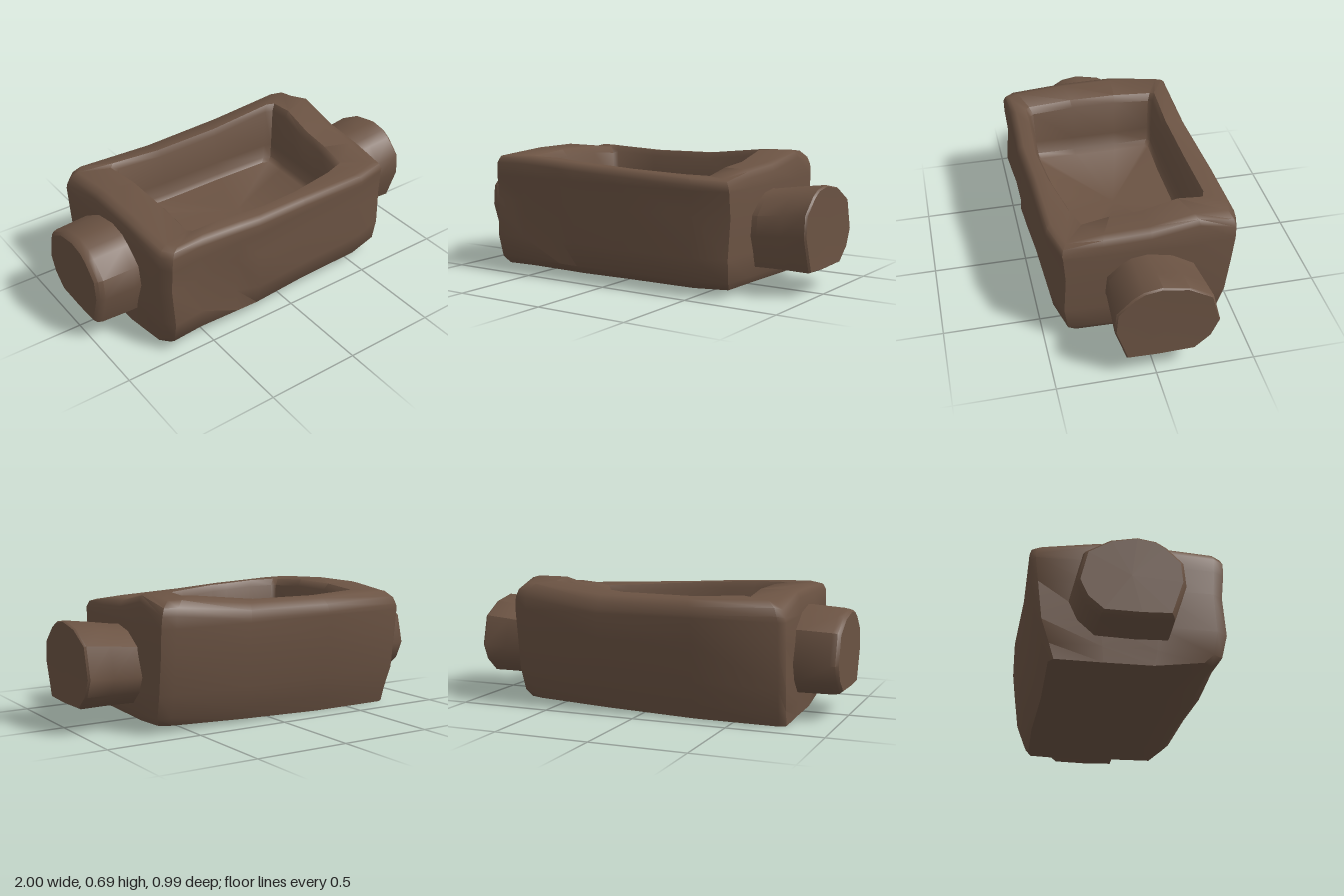
import * as THREE from 'three';
import { toCreasedNormals } from 'three/addons/utils/BufferGeometryUtils.js';

// Skin a stack of equal-length rings; rings run clockwise seen from the advancing end
function loft(rings, crease) {
  const n = rings[0].length;
  const index = [];
  for (let r = 0; r < rings.length - 1; r++) {
    for (let i = 0; i < n; i++) {
      const j = (i + 1) % n;
      const a = r * n + i, b = r * n + j, c = b + n, d = a + n;
      index.push(a, c, b, a, d, c);
    }
  }
  const geo = new THREE.BufferGeometry();
  geo.setAttribute('position', new THREE.Float32BufferAttribute(rings.flat(2), 3));
  geo.setIndex(index);
  return toCreasedNormals(geo, crease);
}

// Worn outline of the block: x, z, rim height
const OUTER = [
  [-0.785, -0.45, 0.635], [-0.75, -0.48, 0.645], [-0.3, -0.48, 0.63], [0.2, -0.5, 0.635],
  [0.62, -0.49, 0.675], [0.69, -0.47, 0.675], [0.71, -0.28, 0.685], [0.7, -0.04, 0.635],
  [0.69, 0.2, 0.62], [0.685, 0.4, 0.59], [0.5, 0.45, 0.595], [0.1, 0.465, 0.61],
  [-0.2, 0.487, 0.625], [-0.32, 0.482, 0.63], [-0.55, 0.478, 0.64], [-0.72, 0.493, 0.64],
  [-0.76, 0.44, 0.64], [-0.77, 0.15, 0.655], [-0.775, -0.15, 0.655],
];
// Matching outline of the basin: x, z
const INNER = [
  [-0.53, -0.32], [-0.51, -0.34], [-0.25, -0.335], [0.1, -0.34],
  [0.44, -0.335], [0.48, -0.32], [0.48, -0.2], [0.475, -0.03],
  [0.47, 0.12], [0.465, 0.25], [0.35, 0.29], [0.1, 0.345],
  [-0.1, 0.37], [-0.2, 0.367], [-0.35, 0.36], [-0.5, 0.36],
  [-0.52, 0.34], [-0.52, 0.12], [-0.52, -0.12],
];
// Wall profile: height, x scale, front z scale, back z scale
const WALL = [
  [0.08, 0.985, 0.95, 0.84], [0.2, 0.995, 1, 0.92], [0.4, 1, 0.97, 0.97], [0.53, 1, 0.995, 1],
];

function troughGeometry() {
  // Underside is lifted along the front edge and towards +x
  const underside = (x, z) => Math.max(0, 0.012 + 0.04 * x, z > 0.25 ? 0.035 : 0);
  const base = (s) => OUTER.map(([x, z]) => {
    const px = x * (x > 0 ? 0.95 : 0.98) * s, pz = z * (z > 0 ? 0.84 : 0.78) * s;
    return [px, underside(px, pz), pz];
  });
  const rings = [base(0), base(0.55), base(1)];
  for (const [y, sx, sf, sb] of WALL) {
    rings.push(OUTER.map(([x, z], i) => {
      const dent = i === 13 && y === 0.2 ? 0.035 : 0;
      const wear = 0.004 * Math.sin(i * 2.3 + y * 17);
      return [x * sx + wear * 0.5, y, z * (z > 0 ? sf : sb) - dent - Math.abs(wear) * Math.sign(z)];
    }));
  }
  // Rounded rim, worn down further along the back edge
  const rim = (s, drop, backDrop) => OUTER.map(([x, z, h]) => [
    x * s, h - (z < -0.4 ? backDrop : drop), z * s,
  ]);
  rings.push(rim(0.995, 0.04, 0.085), rim(0.975, 0.01, 0.045), rim(0.925, 0, 0.012));
  // Basin lip, steep walls and flat floor
  const basin = (s, yOf) => INNER.map(([x, z], i) => [x * s, yOf(OUTER[i][2]), z * s]);
  rings.push(
    basin(1.07, (h) => h - 0.005),
    basin(1.02, (h) => h - 0.04),
    basin(0.995, () => 0.42),
    basin(0.98, () => 0.345),
    basin(0.93, () => 0.322),
    basin(0, () => 0.32),
  );
  return loft(rings, 0.9);
}

// Rough end section of a handle: z, y
const LUG = [
  [0.2, 0.42], [0.12, 0.5], [0.07, 0.53], [-0.02, 0.545], [-0.15, 0.52], [-0.27, 0.45],
  [-0.31, 0.29], [-0.27, 0.2], [-0.19, 0.13], [0.0, 0.125], [0.15, 0.13], [0.21, 0.31],
];

// Stations run outward: x, scale, lift
function lugGeometry(side, zShift, stations) {
  const cz = -0.05, cy = 0.33;
  const section = side > 0 ? LUG : [...LUG].reverse();
  const rings = stations.map(([x, s, lift]) => section.map(([z, y]) => [
    side * x,
    cy + (y - cy) * s + lift,
    cz + (z - cz) * s + zShift,
  ]));
  return loft(rings, 0.7);
}

export function createModel() {
  const stone = new THREE.MeshStandardMaterial({ color: 0x6b5343 });
  stone.name = 'brown stone';
  const model = new THREE.Group();
  model.name = 'stoneTrough';

  const add = (name, geometry) => {
    const mesh = new THREE.Mesh(geometry, stone);
    mesh.name = name;
    model.add(mesh);
  };

  add('troughBody', troughGeometry());
  // Left handle flares towards its end, right handle is chamfered
  add('leftHandle', lugGeometry(1, 0, [
    [0.6, 0.93, -0.025], [0.72, 0.92, -0.02], [0.86, 0.96, -0.008], [0.99, 1, 0], [1, 0.97, 0], [0.995, 0, 0],
  ]));
  add('rightHandle', lugGeometry(-1, 0.035, [
    [0.62, 1.04, 0.012], [0.8, 1.04, 0.012], [0.96, 1.01, 0.008], [0.985, 0.98, 0.008], [1, 0.92, 0.008], [1, 0, 0.008],
  ]));
  return model;
}
